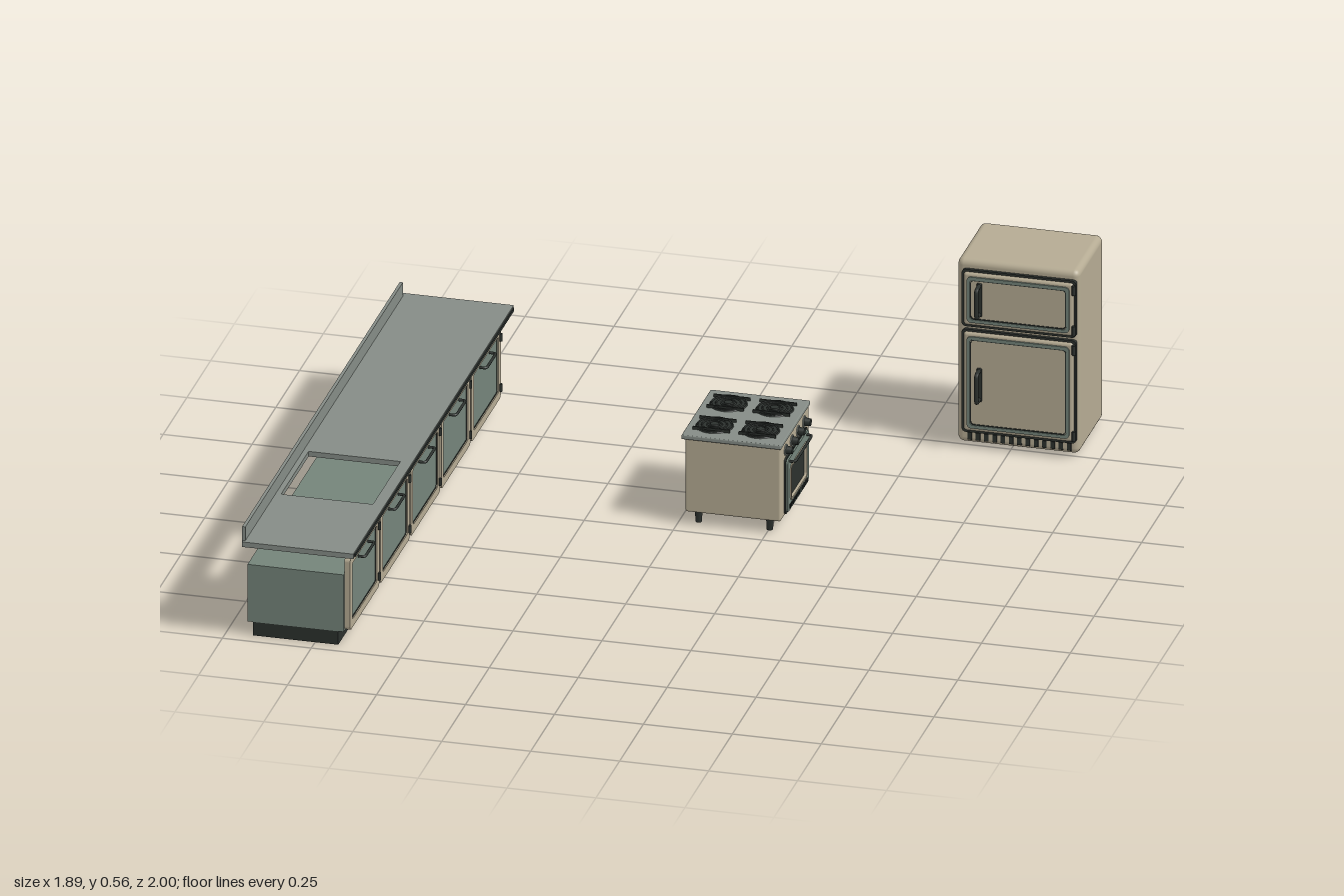
import * as THREE from 'three';
import { RoundedBoxGeometry } from 'three/addons/geometries/RoundedBoxGeometry.js';

const paint = (color) => new THREE.MeshStandardMaterial({ color });
const cream = paint(0xb5ab93), sage = paint(0x74847a), steel = paint(0x858c86), dark = paint(0x2b302d);

function add(parent, name, geometry, material, x = 0, y = 0, z = 0) {
  const mesh = new THREE.Mesh(geometry, material);
  mesh.name = name;
  mesh.position.set(x, y, z);
  parent.add(mesh);
  return mesh;
}

// Box given by its min and max on each axis; r rounds the edges
function box(parent, name, material, [x0, x1], [y0, y1], [z0, z1], r = 0) {
  const s = [x1 - x0, y1 - y0, z1 - z0];
  const g = r ? new RoundedBoxGeometry(...s, 3, r) : new THREE.BoxGeometry(...s);
  return add(parent, name, g, material, (x0 + x1) / 2, (y0 + y1) / 2, (z0 + z1) / 2);
}

function roundRect(target, w, h, r) {
  const a = w / 2 - r, b = h / 2 - r;
  target.absarc(a, b, r, 0, Math.PI / 2);
  target.absarc(-a, b, r, Math.PI / 2, Math.PI);
  target.absarc(-a, -b, r, Math.PI, Math.PI * 1.5);
  target.absarc(a, -b, r, Math.PI * 1.5, Math.PI * 2);
  target.closePath();
  return target;
}

// Rectangular frame facing +z, its back at z
function frame(parent, name, material, w, h, border, depth, x, y, z) {
  const shape = roundRect(new THREE.Shape(), w, h, 0.012);
  shape.holes.push(roundRect(new THREE.Path(), w - 2 * border, h - 2 * border, 0.008));
  const g = new THREE.ExtrudeGeometry(shape, { depth, bevelEnabled: false, curveSegments: 5 });
  return add(parent, name, g, material, x, y, z);
}

// Bowed bar handle running along x or y and standing out along +z
function handle(parent, name, length, out, radius, vertical, x, y, z) {
  const h = length / 2;
  const points = [[-h, 0], [-h, out * 0.8], [-h * 0.8, out], [h * 0.8, out], [h, out * 0.8], [h, 0]]
    .map(([t, d]) => new THREE.Vector3(vertical ? 0 : t, vertical ? t : 0, d));
  const curve = new THREE.CatmullRomCurve3(points, false, 'catmullrom', 0.2);
  return add(parent, name, new THREE.TubeGeometry(curve, 24, radius, 8), dark, x, y, z);
}

function hinge(parent, x, y, z, h = 0.022) {
  add(parent, 'hinge', new THREE.CylinderGeometry(0.005, 0.005, h, 10), dark, x, y, z);
}

function cabinetDoor() {
  const door = new THREE.Group();
  door.name = 'cabinetDoor';
  frame(door, 'doorFrame', cream, 0.308, 0.215, 0.024, 0.016, 0, 0, 0);
  frame(door, 'doorSeal', dark, 0.266, 0.173, 0.005, 0.013, 0, 0, 0);
  box(door, 'doorPanel', sage, [-0.131, 0.131], [-0.085, 0.085], [0.001, 0.011]);
  handle(door, 'doorHandle', 0.1, 0.02, 0.004, false, 0, 0.07, 0.01);
  for (const y of [-0.075, 0.075]) hinge(door, 0.146, y, 0.018);
  return door;
}

// Long counter along z with its doors facing +x
function createCounter() {
  const g = new THREE.Group();
  g.name = 'counter';
  box(g, 'plinth', dark, [-0.925, -0.685], [0, 0.045], [-0.64, 0.96]);
  box(g, 'cabinetBody', sage, [-0.94, -0.67], [0.04, 0.21], [-0.64, 0.96]);
  // Worktop in four pieces around the opening
  const y = [0.279, 0.294];
  box(g, 'worktopLong', steel, [-0.945, -0.632], y, [-0.69, 0.38]);
  box(g, 'worktopEnd', steel, [-0.945, -0.632], y, [0.67, 1]);
  box(g, 'worktopBackStrip', steel, [-0.945, -0.923], y, [0.38, 0.67]);
  box(g, 'worktopFrontStrip', steel, [-0.665, -0.632], y, [0.38, 0.67]);
  box(g, 'frontTrim', dark, [-0.632, -0.628], [0.282, 0.291], [-0.68, 0.99]);
  box(g, 'backsplash', steel, [-0.947, -0.938], [0.28, 0.335], [-0.67, 0.99]);
  for (let i = 0; i < 5; i++) {
    const door = cabinetDoor();
    door.rotation.y = Math.PI / 2;
    door.position.set(-0.67, 0.148, 0.797 - i * 0.32);
    g.add(door);
  }
  return g;
}

// Stove built facing +z around its own centre, then turned
function createStove() {
  const g = new THREE.Group();
  g.name = 'stove';
  box(g, 'stoveBody', cream, [-0.15, 0.15], [0.038, 0.257], [-0.13, 0.138], 0.006);
  box(g, 'hob', steel, [-0.155, 0.155], [0.255, 0.268], [-0.14, 0.14], 0.003);
  for (const x of [-0.12, 0.12]) for (const z of [-0.1, 0.1]) {
    add(g, 'stoveLeg', new THREE.CylinderGeometry(0.011, 0.009, 0.042, 12), dark, x, 0.021, z);
  }
  // Burners with rings and crossed pan supports
  for (const x of [-0.073, 0.074]) for (const z of [-0.068, 0.062]) {
    const burner = new THREE.Group();
    burner.name = 'burner';
    burner.position.set(x, 0.268, z);
    g.add(burner);
    add(burner, 'burnerPlate', new THREE.CylinderGeometry(0.05, 0.053, 0.004, 32), dark, 0, 0.001, 0);
    for (const r of [0.02, 0.034, 0.047]) {
      add(burner, 'burnerRing', new THREE.TorusGeometry(r, 0.0025, 6, 32), dark, 0, 0.004, 0).rotation.x = Math.PI / 2;
    }
    add(burner, 'burnerCap', new THREE.CylinderGeometry(0.012, 0.014, 0.006, 16), dark, 0, 0.004, 0);
    for (const s of [-1, 1]) {
      box(burner, 'panSupport', dark, [s * 0.036 - 0.002, s * 0.036 + 0.002], [0, 0.009], [-0.052, 0.052]);
    }
  }
  // Control knobs
  for (let i = 0; i < 4; i++) {
    const x = -0.097 + i * 0.064;
    add(g, 'knobCollar', new THREE.CylinderGeometry(0.016, 0.016, 0.004, 20), steel, x, 0.231, 0.139).rotation.x = Math.PI / 2;
    add(g, 'knob', new THREE.CylinderGeometry(0.01, 0.012, 0.02, 16), dark, x, 0.231, 0.148).rotation.x = Math.PI / 2;
  }
  // Oven door with window
  frame(g, 'ovenDoorSeal', dark, 0.232, 0.165, 0.006, 0.006, 0, 0.127, 0.137);
  frame(g, 'ovenDoor', sage, 0.222, 0.155, 0.03, 0.011, 0, 0.127, 0.137);
  frame(g, 'windowTrim', cream, 0.172, 0.106, 0.006, 0.014, 0, 0.127, 0.137);
  box(g, 'ovenWindow', dark, [-0.082, 0.082], [0.077, 0.177], [0.137, 0.143]);
  handle(g, 'ovenHandle', 0.18, 0.018, 0.004, false, 0, 0.195, 0.145);
  for (let i = 0; i < 12; i++) {
    const x = -0.088 + i * 0.016;
    box(g, 'ovenVent', dark, [x - 0.004, x + 0.004], [0.055, 0.067], [0.142, 0.15]);
  }
  g.rotation.y = Math.PI / 2;
  g.position.set(0.152, 0, -0.195);
  return g;
}

function createFridge() {
  const g = new THREE.Group();
  g.name = 'fridge';
  box(g, 'fridgeBody', cream, [0.6, 0.943], [0.008, 0.555], [-1, -0.742], 0.018);
  for (const x of [0.64, 0.903]) for (const z of [-0.96, -0.785]) {
    add(g, 'fridgeFoot', new THREE.CylinderGeometry(0.011, 0.011, 0.014, 12), dark, x, 0.007, z);
  }
  // Freezer door above, main door below: [bottom, top, handle height]
  for (const [y0, y1, hy] of [[0.36, 0.53, 0.446], [0.045, 0.352, 0.193]]) {
    const h = y1 - y0, y = (y0 + y1) / 2;
    frame(g, 'doorGasket', dark, 0.322, h, 0.012, 0.012, 0.776, y, -0.745);
    box(g, 'fridgeDoor', cream, [0.621, 0.931], [y0 + 0.006, y1 - 0.006], [-0.75, -0.726], 0.01);
    frame(g, 'doorTrim', sage, 0.288, h - 0.034, 0.009, 0.008, 0.776, y, -0.73);
    frame(g, 'trimLine', dark, 0.27, h - 0.052, 0.003, 0.006, 0.776, y, -0.73);
    handle(g, 'fridgeHandle', 0.085, 0.032, 0.006, true, 0.667, hy, -0.725);
    box(g, 'handlePlate', dark, [0.66, 0.674], [hy - 0.05, hy + 0.05], [-0.73, -0.722], 0.003);
    for (const hingeY of [y0 + 0.025, y1 - 0.025]) hinge(g, 0.932, hingeY, -0.725, 0.028);
  }
  // Ventilation slots under the main door
  for (let i = 0; i < 13; i++) {
    const x = 0.636 + i * 0.0233;
    box(g, 'fridgeVent', dark, [x - 0.006, x + 0.006], [0.02, 0.041], [-0.75, -0.739]);
  }
  return g;
}

export function createModel() {
  const model = new THREE.Group();
  model.name = 'kitchenSet';
  model.add(createCounter(), createStove(), createFridge());
  return model;
}
